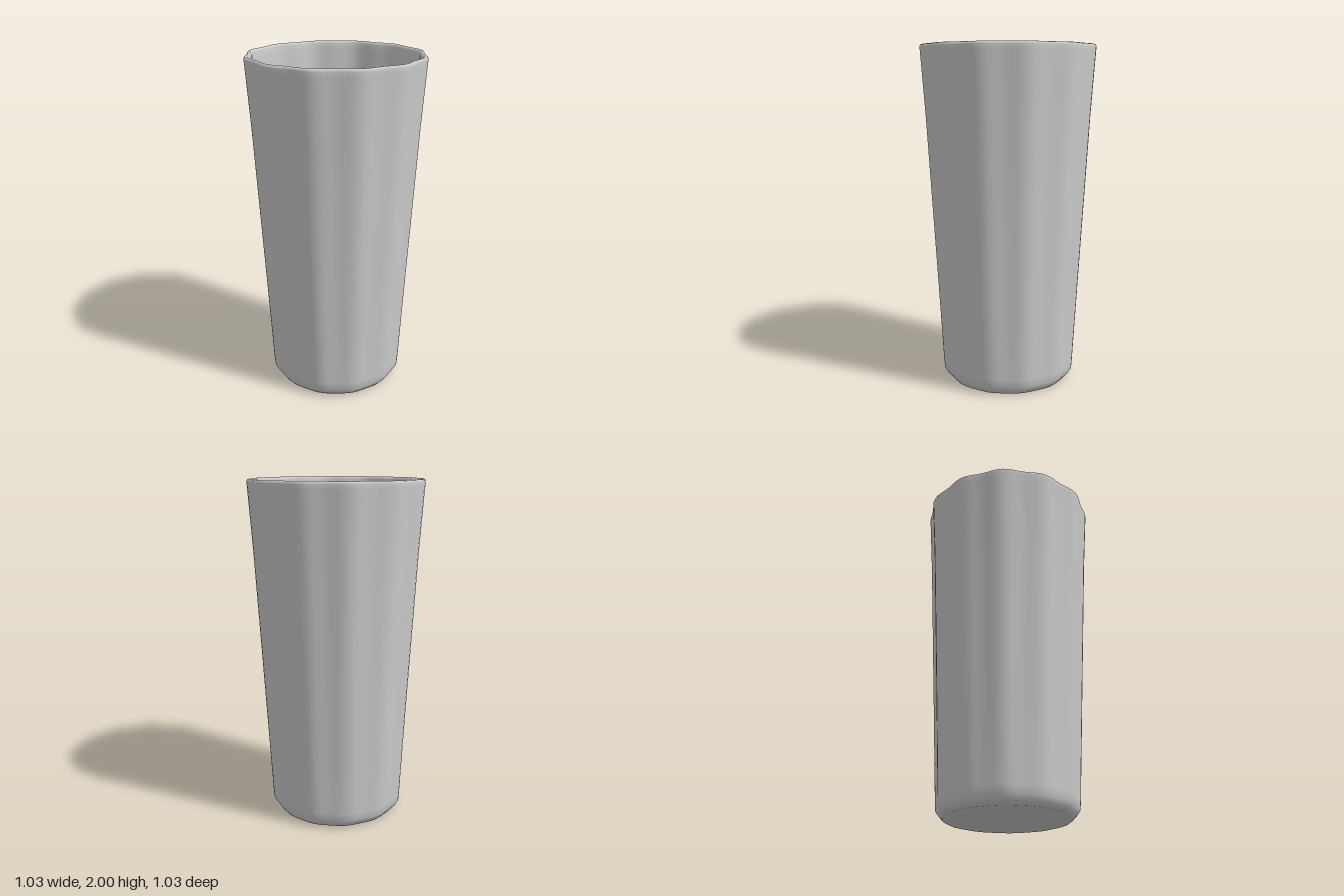
import * as THREE from 'three';
import { mergeVertices } from 'three/addons/utils/BufferGeometryUtils.js';

const LOBES = 12;

// Lathe a closed wall profile, then press it into twelve soft facets.
function facetedLathe(profile) {
  const points = profile.map(([r, y]) => new THREE.Vector2(r, y));
  let geometry = new THREE.LatheGeometry(points, 96);
  const p = geometry.attributes.position;
  for (let i = 0; i < p.count; i++) {
    const x = p.getX(i), y = p.getY(i), z = p.getZ(i);
    // the facets soften toward the base
    const depth = 0.0175 * THREE.MathUtils.clamp(0.4 + y * 2, 0, 1);
    const s = 1 - depth * (1 - Math.cos(LOBES * Math.atan2(x, z)));
    p.setXYZ(i, x * s, y, z * s);
  }
  // weld the seam so the shading is smooth all round
  geometry.deleteAttribute('uv');
  geometry.deleteAttribute('normal');
  geometry = mergeVertices(geometry, 1e-5);
  geometry.computeVertexNormals();
  return geometry;
}

export function createModel() {
  const group = new THREE.Group();
  group.name = 'tumbler';

  const profile = [
    // underside and bevelled foot
    [0, 0], [0.3, 0], [0.36, 0], [0.38, 0.022], [0.4, 0.05], [0.404, 0.1],
    // outer wall
    [0.432, 0.6], [0.46, 1.1], [0.488, 1.6], [0.513, 1.96],
    // rounded lip
    [0.515, 1.985], [0.511, 1.996], [0.501, 2], [0.491, 1.996], [0.486, 1.985],
    // inner wall
    [0.484, 1.95], [0.463, 1.5], [0.44, 1.05], [0.416, 0.6], [0.394, 0.17],
    // dished inner floor
    [0.385, 0.11], [0.36, 0.075], [0.25, 0.055], [0, 0.045],
  ];
  const cup = new THREE.Mesh(
    facetedLathe(profile),
    new THREE.MeshStandardMaterial({ color: 0xcccccc })
  );
  cup.name = 'cup';
  group.add(cup);
  return group;
}
